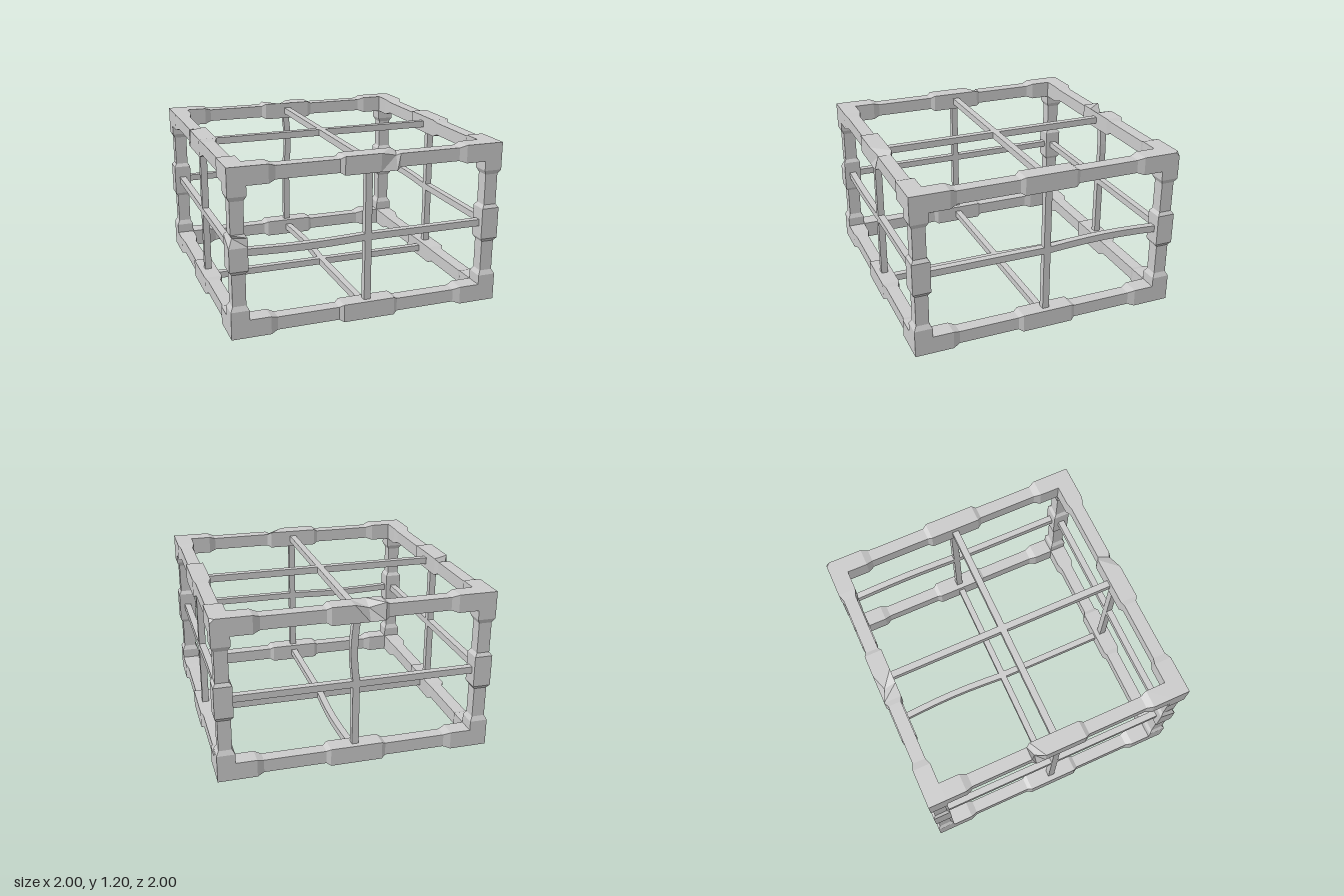
import * as THREE from 'three';
import { ConvexGeometry } from 'three/addons/geometries/ConvexGeometry.js';

const HALF = [1, 0.6, 1];       // half extents of the frame
const W = 0.13, THIN = 0.0175;  // beam width, inset of the thin stretches
const BAR = 0.05;               // thin bar width
const AXES = ['x', 'y', 'z'];
const FACES = [['left', 'right'], ['bottom', 'top'], ['back', 'front']];
const sideName = (axis, sign) => FACES[axis][sign > 0 ? 1 : 0];

// Worn notches on the outer edge of some collars: [position along beam, depth]
const DENTS = {
  'top-front': [[0.07, 0], [0.19, 0.03]],
  'top-back': [[-0.19, 0], [-0.08, 0.04], [0.03, 0]],
  'left-top': [[-0.19, 0.045], [-0.12, 0]],
  'left-front': [[0.05, 0], [0.115, 0.03]],
};

// Slightly bent bars: sideways bow at mid length
const BOWS = {
  'back-top': 0.018, 'bottom-back': 0.018, 'right-back': 0.018, 'front-left': -0.012,
};

// Skin a list of four-cornered rings
function loft(rings, flip) {
  const pos = rings.flat().flatMap((p) => p);
  const index = [];
  for (let i = 0; i < rings.length - 1; i++) {
    for (let j = 0; j < 4; j++) {
      const a = i * 4 + j, b = i * 4 + (j + 1) % 4;
      if (flip) index.push(a, a + 4, b, b, a + 4, b + 4);
      else index.push(a, b, a + 4, b, b + 4, a + 4);
    }
  }
  const g = new THREE.BufferGeometry();
  g.setAttribute('position', new THREE.Float32BufferAttribute(pos, 3));
  g.setIndex(index);
  const flat = g.toNonIndexed();
  flat.computeVertexNormals();
  return flat;
}

// Handedness of the frame made by axis a followed by axes b and c
const parity = (a, b, c) => ((b - a + 3) % 3 === 1 && (c - b + 3) % 3 === 1 ? 1 : -1);

// Edge beam along axis a with thick ends and a thick central collar
function beamGeometry(a, b, c, sb, sc, dents) {
  const half = a === 1
    ? [[0.115, 0], [0.14, THIN], [0.367, THIN], [0.4, 0], [0.47, 0]]
    : [[0.19, 0], [0.22, THIN], [0.67, THIN], [0.72, 0], [0.87, 0]];
  const stations = new Map();
  for (const [t, inset] of half) {
    stations.set(t, { inset, dent: 0 });
    stations.set(-t, { inset, dent: 0 });
  }
  for (const [t, dent] of dents) stations.set(t, { inset: 0, dent });

  const rings = [...stations].sort((p, q) => p[0] - q[0]).map(([t, { inset, dent }]) => {
    const lo = W - inset;
    // depths below the two outer faces; the first corner is the outer edge
    const corners = [[inset + dent, inset + dent], [lo, inset], [lo, lo], [inset, lo]];
    return corners.map(([u, v]) => {
      const p = [0, 0, 0];
      p[a] = t;
      p[b] = sb * (HALF[b] - u);
      p[c] = sc * (HALF[c] - v);
      return p;
    });
  });
  return loft(rings, parity(a, b, c) * sb * sc < 0);
}

// Half of a cross bar on face (n, s), running along axis a in direction d
function barGeometry(n, s, a, d, bow) {
  const b = 3 - n - a, h = BAR / 2;
  const end = HALF[a] - W + 0.01, steps = bow ? 6 : 1;
  const rings = [];
  for (let i = 0; i <= steps; i++) {
    const k = i / steps;
    rings.push([[-h, -h], [h, -h], [h, h], [-h, h]].map(([u, v]) => {
      const p = [0, 0, 0];
      p[a] = d * (h + (end - h) * k);
      p[b] = u + bow * Math.sin(Math.PI * k);
      p[n] = s * (HALF[n] - W / 2) + v;
      return p;
    }));
  }
  return loft(rings, parity(a, b, n) * d < 0);
}

// Corner cube with its outermost point broken off
function chippedCorner(sx, sy, sz, chip) {
  const h = W / 2, pts = [];
  for (const x of [-1, 1]) for (const y of [-1, 1]) for (const z of [-1, 1]) {
    if (x !== sx || y !== sy || z !== sz) pts.push(new THREE.Vector3(x * h, y * h, z * h));
  }
  pts.push(
    new THREE.Vector3(sx * (h - chip), sy * h, sz * h),
    new THREE.Vector3(sx * h, sy * (h - chip), sz * h),
    new THREE.Vector3(sx * h, sy * h, sz * (h - chip)),
  );
  return new ConvexGeometry(pts);
}

export function createModel() {
  const model = new THREE.Group();
  model.name = 'cageFrame';
  const frame = new THREE.Group();
  frame.position.y = HALF[1];
  model.add(frame);
  frame.name = 'frame';

  const material = new THREE.MeshStandardMaterial({ color: 0xcccccc, flatShading: true });
  const add = (name, geometry) => {
    const mesh = new THREE.Mesh(geometry, material);
    mesh.name = name;
    frame.add(mesh);
    return mesh;
  };

  // Corner blocks
  for (const sx of [-1, 1]) for (const sy of [-1, 1]) for (const sz of [-1, 1]) {
    const chipped = sx > 0 && sy > 0 && sz < 0;
    const geometry = chipped ? chippedCorner(sx, sy, sz, 0.03) : new THREE.BoxGeometry(W, W, W);
    add('cornerBlock', geometry).position.set(
      sx * (HALF[0] - W / 2), sy * (HALF[1] - W / 2), sz * (HALF[2] - W / 2));
  }

  // Twelve edge beams
  for (let a = 0; a < 3; a++) {
    const [b, c] = [0, 1, 2].filter((i) => i !== a);
    for (const sb of [-1, 1]) for (const sc of [-1, 1]) {
      const key = `${sideName(b, sb)}-${sideName(c, sc)}`;
      add(`${key} beam`, beamGeometry(a, b, c, sb, sc, DENTS[key] || []));
    }
  }

  // A cross of thin bars on every face, joined at a small hub
  for (let n = 0; n < 3; n++) for (const s of [-1, 1]) {
    const face = sideName(n, s);
    add(`${face} hub`, new THREE.BoxGeometry(BAR, BAR, BAR))
      .position[AXES[n]] = s * (HALF[n] - W / 2);
    for (const a of [0, 1, 2].filter((i) => i !== n)) for (const d of [-1, 1]) {
      const key = `${face}-${sideName(a, d)}`;
      add(`${key} bar`, barGeometry(n, s, a, d, BOWS[key] || 0));
    }
  }
  return model;
}
